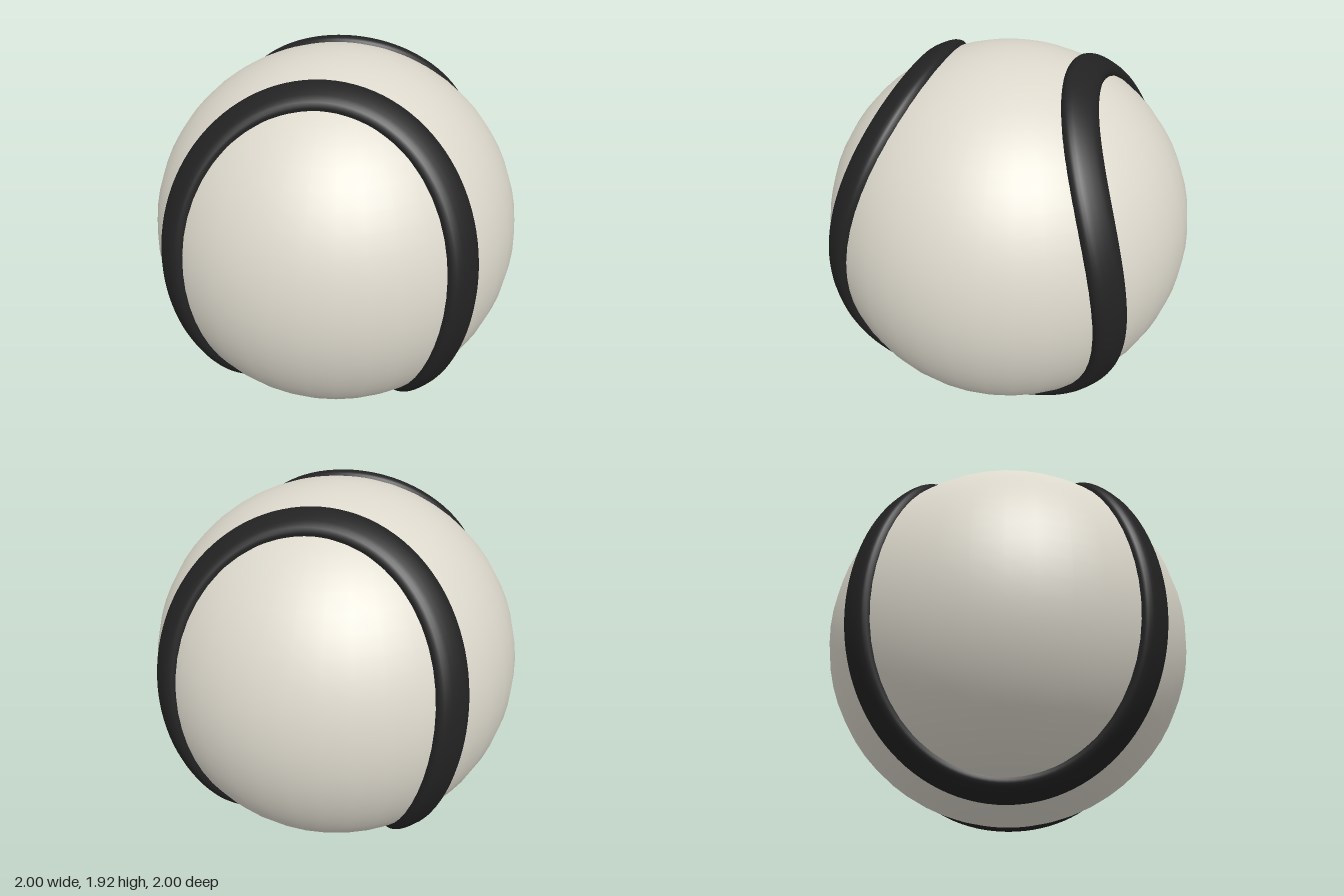
import * as THREE from 'three';

const BALL_RADIUS = 0.96;
// Seam curve lying on a sphere of radius A + B
const A = 0.6625, B = 0.2875, C = 2 * Math.sqrt(A * B);
// Half width and half height of the seam's section
const HALF_WIDTH = 0.09, HALF_HEIGHT = 0.05;

function seamPoint(t) {
  return new THREE.Vector3(
    A * Math.cos(t) + B * Math.cos(3 * t),
    -C * Math.sin(2 * t),
    A * Math.sin(t) - B * Math.sin(3 * t)
  );
}

// Squares off a sine or cosine, giving a boxier oval
const soften = (v) => Math.sign(v) * Math.abs(v) ** 0.75;

// Sweeps the oval section around the closed seam, flat side against the ball
function seamGeometry(steps = 240, sides = 24) {
  const positions = [], indices = [];
  for (let i = 0; i < steps; i++) {
    const t = (i / steps) * Math.PI * 2;
    const p = seamPoint(t);
    const tangent = seamPoint(t + 0.001).sub(seamPoint(t - 0.001)).normalize();
    const up = p.clone().normalize();
    const side = new THREE.Vector3().crossVectors(tangent, up).normalize();
    for (let j = 0; j < sides; j++) {
      const a = (j / sides) * Math.PI * 2;
      const v = p.clone()
        .addScaledVector(side, HALF_WIDTH * soften(Math.cos(a)))
        .addScaledVector(up, HALF_HEIGHT * soften(Math.sin(a)));
      positions.push(v.x, v.y, v.z);
      const i2 = (i + 1) % steps, j2 = (j + 1) % sides;
      const q = [i * sides + j, i2 * sides + j, i2 * sides + j2, i * sides + j2];
      indices.push(q[0], q[1], q[2], q[0], q[2], q[3]);
    }
  }
  const g = new THREE.BufferGeometry();
  g.setAttribute('position', new THREE.Float32BufferAttribute(positions, 3));
  g.setIndex(indices);
  g.computeVertexNormals();
  return g;
}

export function createModel() {
  const group = new THREE.Group();
  group.name = 'ball';

  // Round body
  const body = new THREE.Mesh(
    new THREE.SphereGeometry(BALL_RADIUS, 40, 32),
    new THREE.MeshStandardMaterial({ color: 0xdcd8cc })
  );
  body.name = 'body';

  // Raised dark seam winding once around the ball
  const seam = new THREE.Mesh(
    seamGeometry(),
    new THREE.MeshStandardMaterial({ color: 0x222222 })
  );
  seam.name = 'seam';

  for (const mesh of [body, seam]) {
    mesh.position.y = BALL_RADIUS;
    group.add(mesh);
  }
  return group;
}
